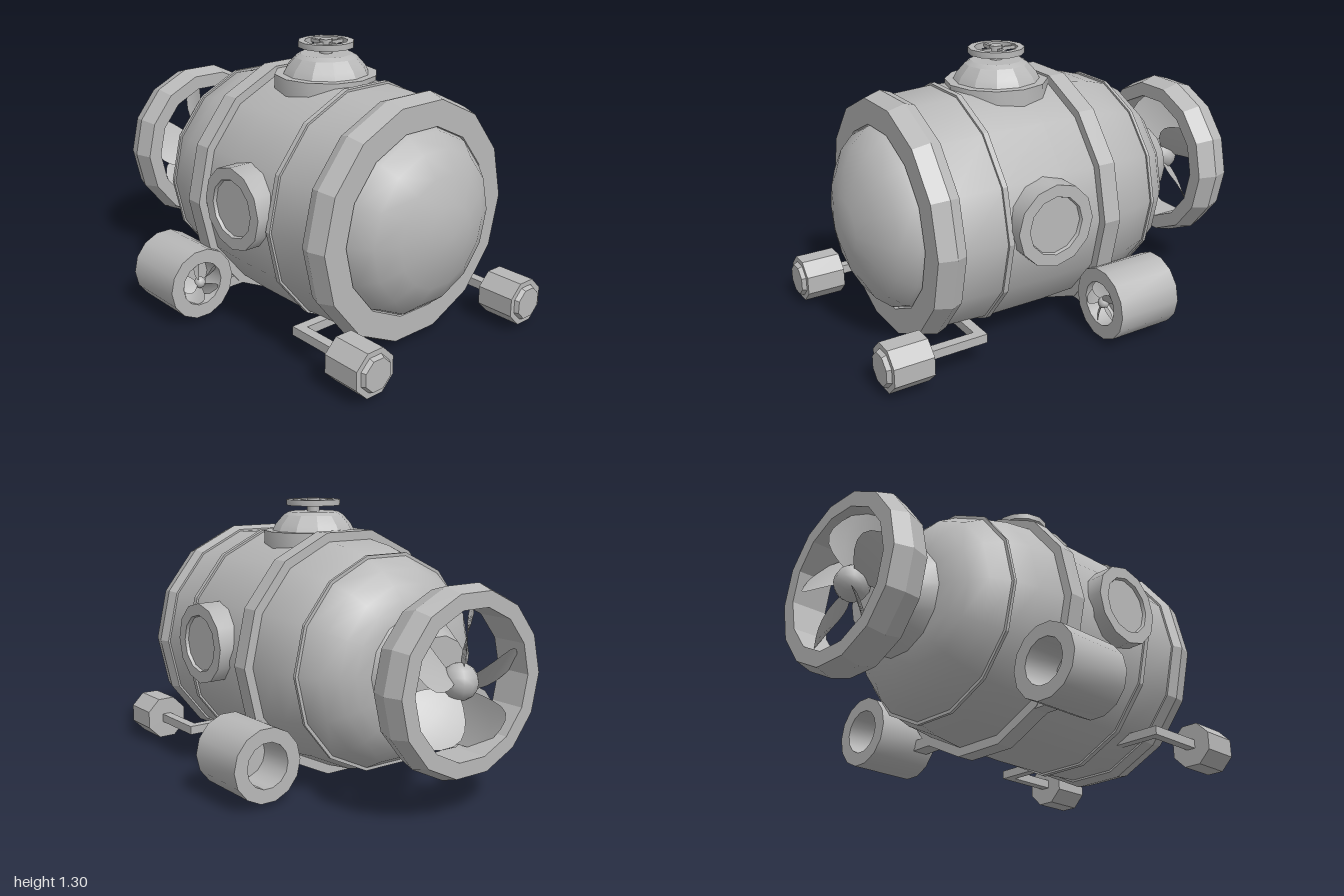
import * as THREE from 'three';
import { toCreasedNormals } from 'three/addons/utils/BufferGeometryUtils.js';

const AXIS_Y = 0.58; // height of the hull's long axis

export function createModel() {
  const grey = new THREE.MeshStandardMaterial({ color: 0xb8b8b8, side: THREE.DoubleSide });
  grey.name = 'plain grey';
  const model = new THREE.Group();
  model.name = 'submarine';

  const add = (name, geo, parent = model, x = 0, y = 0, z = 0) => {
    const mesh = new THREE.Mesh(geo, grey);
    mesh.name = name;
    mesh.position.set(x, y, z);
    parent.add(mesh);
    return mesh;
  };
  const group = (name, x, y, z, parent = model) => {
    const g = new THREE.Group();
    g.name = name;
    g.position.set(x, y, z);
    parent.add(g);
    return g;
  };
  // Profile points are [position along axis, radius]; crease 0 gives flat facets.
  const turned = (profile, sides, crease = 0.6) =>
    toCreasedNormals(new THREE.LatheGeometry(profile.map(([a, r]) => new THREE.Vector2(r, a)), sides), crease);
  const alongX = (profile, sides, crease) => turned(profile, sides, crease).rotateZ(-Math.PI / 2);

  // Hull and tail cone
  add('hull', alongX([
    [-0.63, 0], [-0.63, 0.25], [-0.605, 0.32], [-0.57, 0.38], [-0.51, 0.443], [-0.42, 0.493],
    [-0.3, 0.527], [-0.16, 0.547], [0.1, 0.557], [0.4, 0.557], [0.62, 0.545],
  ], 14), model, 0, AXIS_Y);
  add('tailCone', alongX([[-0.77, 0], [-0.77, 0.175], [-0.62, 0.26]], 14), model, 0, AXIS_Y);

  // Bands around the hull: [start, end, radius]
  for (const [a, b, r] of [[-0.425, -0.41, 0.505], [-0.16, -0.075, 0.59], [0.385, 0.41, 0.567]]) {
    add('hullBand', alongX([[a, r - 0.06], [a, r], [b, r], [b, r - 0.06]], 14, 0), model, 0, AXIS_Y);
  }

  // Nose ring and window dome
  add('noseRing', alongX([
    [0.61, 0.53], [0.61, 0.555], [0.66, 0.572], [0.74, 0.548], [0.74, 0.43], [0.66, 0.42],
  ], 14, 0), model, 0, AXIS_Y);
  add('noseDome', alongX([
    [0.7, 0.435], [0.755, 0.415], [0.825, 0.355], [0.88, 0.255], [0.92, 0.13], [0.938, 0],
  ], 14), model, 0, AXIS_Y);

  // Top hatch with a hand wheel
  const hatch = group('hatch', 0.13, 0, 0);
  add('hatchBase', turned([[1.0, 0.24], [1.145, 0.24], [1.145, 0.18]], 12), hatch);
  add('hatchLid', turned([
    [1.12, 0.2], [1.145, 0.2], [1.175, 0.185], [1.22, 0.145], [1.235, 0.12], [1.235, 0],
  ], 12, 0.3), hatch);
  add('wheelStem', new THREE.CylinderGeometry(0.03, 0.03, 0.07, 10), hatch, 0, 1.265);
  add('wheelRim', turned([
    [1.265, 0.1], [1.265, 0.13], [1.293, 0.13], [1.293, 0.1], [1.265, 0.1],
  ], 12), hatch);
  for (const turn of [0, Math.PI / 2]) {
    add('wheelSpoke', new THREE.BoxGeometry(0.22, 0.016, 0.016), hatch, 0, 1.28).rotation.y = turn;
  }

  // Five-bladed propeller facing along x
  const bladeGeometry = (length) => {
    const geo = new THREE.PlaneGeometry(1, 1, 4, 7);
    const p = geo.attributes.position;
    for (let i = 0; i < p.count; i++) {
      const s = p.getX(i) * 2, t = p.getY(i) + 0.5;
      const half = length * (0.08 + 0.36 * Math.pow(Math.sin(Math.PI * Math.pow(t, 1.15) * 0.96), 0.8));
      const pitch = 0.95 - 0.35 * t;
      p.setXYZ(i, s * half * Math.sin(pitch), length * (0.14 + 0.86 * t), s * half * Math.cos(pitch));
    }
    geo.computeVertexNormals();
    return geo;
  };
  const propeller = (parent, length, x, y, z) => {
    const prop = group('propeller', x, y, z, parent);
    add('hub', new THREE.SphereGeometry(length * 0.25, 12, 8), prop);
    const blade = bladeGeometry(length);
    for (let i = 0; i < 5; i++) add('blade', blade, prop).rotation.x = 0.2 + (i * Math.PI * 2) / 5;
  };

  // Main propeller inside its shroud
  add('propellerShroud', alongX([
    [-0.98, 0.325], [-0.98, 0.395], [-0.9, 0.42], [-0.81, 0.395], [-0.81, 0.325], [-0.98, 0.325],
  ], 14, 0), model, 0, AXIS_Y);
  propeller(model, 0.325, -0.895, AXIS_Y, 0);

  // Parts mirrored on both sides
  for (const side of [1, -1]) {
    // Porthole with recessed pane
    const porthole = group('porthole', 0.2, 0.64, 0);
    if (side < 0) porthole.rotation.y = Math.PI;
    add('portholeFrame', turned([
      [0.45, 0.19], [0.61, 0.19], [0.61, 0.135], [0.595, 0.13], [0.595, 0],
    ], 12).rotateX(Math.PI / 2), porthole);

    // Side thruster: hollow casing, inner wall and propeller
    const thruster = group('thruster', 0, 0.195, side * 0.608);
    add('casing', alongX([
      [-0.365, 0.105], [-0.365, 0.17], [-0.045, 0.17], [-0.045, 0.105], [-0.365, 0.105],
    ], 14), thruster);
    add('innerWall', new THREE.CylinderGeometry(0.106, 0.106, 0.02, 14).rotateZ(Math.PI / 2), thruster, -0.17);
    propeller(thruster, 0.108, -0.068, 0, 0);
    add('thrusterMount', new THREE.BoxGeometry(0.08, 0.05, 0.2), model, -0.118, 0.135, side * 0.39);

    // Headlamp on a bent arm
    const lamp = group('headlamp', 0, 0.133, side * 0.485);
    const body = alongX([
      [0.79, 0], [0.79, 0.111], [0.978, 0.111], [0.978, 0.085], [0.998, 0.075], [0.998, 0],
    ], 8, 0).rotateX(Math.PI / 8);
    add('lampBody', body, lamp);
    add('lampArm', new THREE.BoxGeometry(0.31, 0.042, 0.046), lamp, 0.645);
    add('lampElbow', new THREE.BoxGeometry(0.046, 0.042, 0.24), lamp, 0.513, 0, -side * 0.1);
  }
  return model;
}
